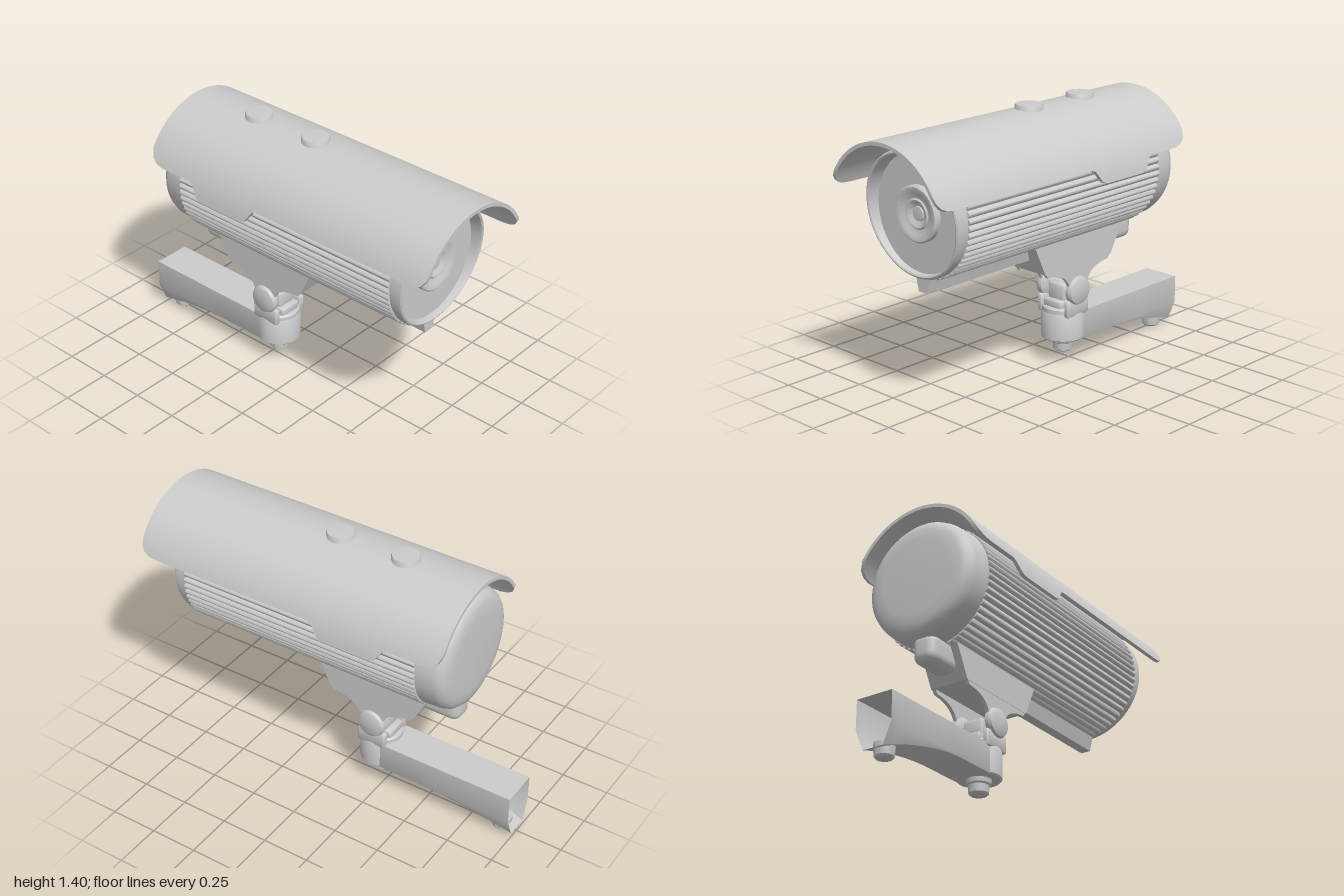
import * as THREE from 'three';
import { toCreasedNormals } from 'three/addons/utils/BufferGeometryUtils.js';
import { RoundedBoxGeometry } from 'three/addons/geometries/RoundedBoxGeometry.js';

const grey = new THREE.MeshStandardMaterial({ color: 0xcccccc });
const greyDouble = new THREE.MeshStandardMaterial({ color: 0xcccccc, side: THREE.DoubleSide });

function lathe(points, segments = 48) {
  return new THREE.LatheGeometry(points.map(([r, h]) => new THREE.Vector2(r, h)), segments);
}

// Side outline in (z, y), extruded symmetrically over a width in x
function sideExtrude(shape, width, x = 0) {
  return new THREE.ExtrudeGeometry(shape, { depth: width, bevelEnabled: false, curveSegments: 16 })
    .translate(0, 0, -width / 2).rotateY(-Math.PI / 2).translate(x, 0, 0);
}

function polygon(points) {
  return new THREE.Shape(points.map(([x, y]) => new THREE.Vector2(x, y)));
}

// Skin over closed rings that run from +z to -z; capped rings must be mirror symmetric
function loft(rings, capped) {
  const n = rings[0].length, index = [];
  const quad = (a, b, c, d) => index.push(a, b, c, a, c, d);
  for (let j = 0; j < rings.length - 1; j++) {
    for (let i = 0; i < n; i++) {
      const k = (i + 1) % n;
      quad(j * n + i, j * n + k, (j + 1) * n + k, (j + 1) * n + i);
    }
  }
  if (capped) {
    const last = (rings.length - 1) * n;
    for (let i = 0; i < n / 2 - 1; i++) {
      quad(i, n - 1 - i, n - 2 - i, i + 1);
      quad(last + i, last + i + 1, last + n - 2 - i, last + n - 1 - i);
    }
  }
  const geometry = new THREE.BufferGeometry();
  geometry.setAttribute('position', new THREE.Float32BufferAttribute(rings.flat(2), 3));
  geometry.setIndex(index);
  return geometry;
}

export function createModel() {
  const group = new THREE.Group();
  const add = (name, geometry, x = 0, y = 0, z = 0, material = grey) => {
    const mesh = new THREE.Mesh(toCreasedNormals(geometry, 0.6), material);
    mesh.name = name;
    mesh.position.set(x, y, z);
    group.add(mesh);
    return mesh;
  };
  const axisY = 1.0, pivotZ = -0.205;

  // Ribbed housing
  const ribs = 56, steps = ribs * 8, outline = [];
  for (let i = 0; i < steps; i++) {
    const a = (i / steps) * Math.PI * 2;
    const r = 0.308 + 0.014 * Math.abs(Math.sin(a * ribs / 2));
    outline.push([r * Math.cos(a), r * Math.sin(a)]);
  }
  add('ribbedHousing', new THREE.ExtrudeGeometry(polygon(outline), { depth: 1.335, bevelEnabled: false }),
    0, axisY, -0.57);

  // Front rim, leaning forward at the top
  const rim = lathe([[0.31, 0.755], [0.312, 0.815], [0.308, 0.828], [0.3, 0.832], [0.293, 0.828],
    [0.29, 0.815], [0.288, 0.766]], 72).rotateX(Math.PI / 2);
  const p = rim.attributes.position;
  for (let i = 0; i < p.count; i++) {
    const lean = THREE.MathUtils.clamp((p.getZ(i) - 0.77) / 0.045, 0, 1);
    p.setZ(i, p.getZ(i) + 0.095 * lean * p.getY(i));
  }
  add('frontRim', rim, 0, axisY, 0, greyDouble);

  // Face plate and stepped lens
  add('facePlate', new THREE.CircleGeometry(0.292, 72), 0, axisY, 0.772);
  add('lens', lathe([[0.137, 0], [0.137, 0.025], [0.13, 0.031], [0.11, 0.03], [0.095, 0.022], [0.075, 0.018],
    [0.068, 0.024], [0.058, 0.022], [0.045, 0.01], [0.036, 0.008], [0.034, 0.014], [0, 0.018]])
    .rotateX(Math.PI / 2), 0, axisY, 0.772);

  // Rear cap
  add('rearCap', lathe([[0, -0.724], [0.2, -0.722], [0.25, -0.718], [0.28, -0.706], [0.298, -0.687],
    [0.307, -0.66], [0.312, -0.57], [0, -0.57]], 72).rotateX(Math.PI / 2), 0, axisY, 0);

  // Curved sunshield: lower edge height along z
  const edge = [[1, 1.19], [0.993, 1.16], [0.975, 1.135], [0.945, 1.12], [0.9, 1.115], [-0.01, 1.115],
    [-0.03, 1.107], [-0.07, 1.05], [-0.1, 1.04], [-0.36, 1.04], [-0.39, 1.05], [-0.43, 1.107],
    [-0.45, 1.115], [-0.64, 1.115], [-0.68, 1.125], [-0.712, 1.148], [-0.73, 1.19]];
  const arcSteps = 48, shieldR = 0.389, shieldY = 0.986;
  add('sunshield', loft(edge.map(([z, y]) => {
    const span = Math.acos((y - shieldY) / shieldR), ring = [];
    for (let i = 0; i < 2 * (arcSteps + 1); i++) {
      const outer = i <= arcSteps;
      const t = outer ? i : 2 * arcSteps + 1 - i;
      const a = span * (2 * t / arcSteps - 1), r = outer ? shieldR : shieldR - 0.018;
      ring.push([r * Math.sin(a), shieldY + r * Math.cos(a), z]);
    }
    return ring;
  }), true));

  // Shield screws
  for (const z of [0.045, -0.32]) {
    add('shieldScrew', lathe([[0.07, 0], [0.07, 0.09], [0.066, 0.097], [0, 0.1]], 32), 0, 1.3, z);
  }

  // Rail under the housing and cable gland
  add('rail', new THREE.ExtrudeGeometry(polygon([[-0.052, 0.71], [-0.027, 0.61], [0.027, 0.61], [0.052, 0.71]]),
    { depth: 1.32, bevelEnabled: false }), 0, 0, -0.555);
  add('cableGland', new RoundedBoxGeometry(0.13, 0.15, 0.22, 4, 0.045), 0, 0.65, -0.56);

  // Saddle with two ears reaching down to the pivot
  add('saddle', sideExtrude(polygon([[0.115, 0.7], [0.04, 0.54], [-0.45, 0.54], [-0.535, 0.7]]), 0.214));
  const ear = new THREE.Shape();
  ear.moveTo(0.04, 0.55);
  ear.lineTo(0.02, 0.52);
  ear.bezierCurveTo(-0.08, 0.515, -0.135, 0.48, -0.145, 0.41);
  ear.lineTo(-0.265, 0.41);
  ear.bezierCurveTo(-0.275, 0.48, -0.33, 0.515, -0.43, 0.52);
  ear.lineTo(-0.45, 0.55);
  for (const side of [-1, 1]) {
    add('saddleEar', sideExtrude(ear, 0.02, side * 0.095));
    // Domed pivot knobs
    add('pivotKnob', lathe([[0, 0.076], [0.06, 0.076], [0.074, 0.085], [0.077, 0.105], [0.07, 0.12],
      [0.055, 0.127], [0, 0.129]], 40).rotateZ(-side * Math.PI / 2), 0, 0.402, pivotZ);
    // Yoke cheeks
    add('yokeCheek', new RoundedBoxGeometry(0.032, 0.09, 0.16, 3, 0.012), side * 0.092, 0.31, pivotZ);
  }

  // Pivot pin, block and turntable
  add('pivotPin', new THREE.CylinderGeometry(0.027, 0.027, 0.17, 24).rotateZ(Math.PI / 2), 0, 0.405, pivotZ);
  add('pivotBlock', new RoundedBoxGeometry(0.11, 0.125, 0.11, 3, 0.012), 0, 0.365, pivotZ);
  add('pivotFoot', new RoundedBoxGeometry(0.122, 0.05, 0.17, 3, 0.01), 0, 0.32, pivotZ);
  add('turntable', lathe([[0, 0.275], [0.108, 0.275], [0.108, 0.3], [0.1, 0.308], [0, 0.308]]), 0, 0, pivotZ);

  // Arm head
  add('armHead', lathe([[0, 0.13], [0.106, 0.13], [0.112, 0.136], [0.112, 0.272], [0.106, 0.282], [0, 0.282]]),
    0, 0, pivotZ);
  add('armBolt', lathe([[0, 0.055], [0.04, 0.055], [0.049, 0.062], [0.052, 0.1], [0.06, 0.107], [0.064, 0.135]], 32),
    0, 0, pivotZ);

  // Hollow arm, deepening and tapering below towards its open wall end
  const armRings = [];
  for (let i = 0; i <= 16; i++) {
    const z = pivotZ - (0.795 * i) / 16;
    const t = Math.max(0, (-z - 0.48) / 0.52) ** 1.8;
    const w = 0.098 - 0.042 * t, y = 0.129 - 0.104 * t;
    armRings.push([[-0.1, 0.132, z], [-0.1, 0.28, z], [0.1, 0.28, z], [0.1, 0.132, z], [w, y, z], [-w, y, z]]);
  }
  add('arm', loft(armRings, false), 0, 0, 0, greyDouble);
  add('footBolt', lathe([[0, 0], [0.038, 0], [0.046, 0.008], [0.05, 0.04], [0.05, 0.07], [0, 0.07]], 32), 0, 0, -0.918);

  return group;
}
